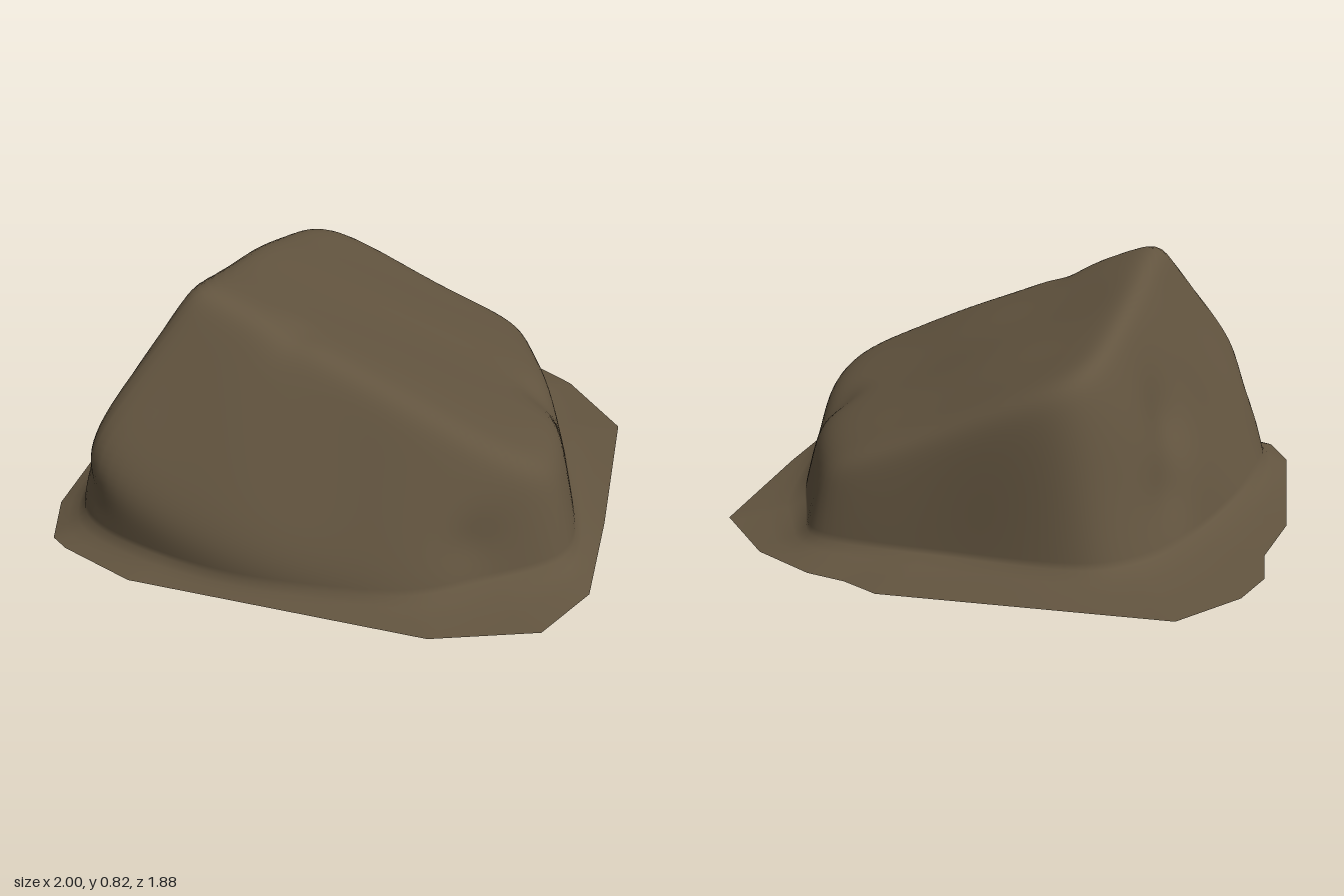
import * as THREE from 'three';

// Ground skirt outline (x, z), walked around the rock
const OUTLINE = [
  [-0.08, -0.945], [0.05, -0.925], [0.18, -0.935], [0.41, -0.89], [0.69, -0.73], [0.89, -0.19],
  [1, 0.15], [0.955, 0.385], [0.685, 0.605], [-0.235, 0.93], [-0.51, 0.935], [-0.58, 0.92],
  [-0.695, 0.775], [-0.915, 0.155], [-0.94, -0.11], [-1, -0.27], [-0.99, -0.43], [-0.89, -0.66],
];

// Rock facets: outward normal and offset of each plane
const FACETS = [
  [0.326, 1, -0.324, 0.6],      // sloping top
  [-0.63, 0.317, 0.098, 0.495], // left slope
  [-1, 0.3, -0.03, 0.74],       // left foot
  [0.333, 0.42, 0.6, 0.532],    // front slope
  [0.35, -0.1, 0.94, 0.73],     // front foot
  [0, -0.1, 1, 0.83],           // front corner foot
  [0.75, 0.25, -0.66, 0.75],    // back right side
  [0.85, 0.25, -0.45, 0.745],   // right side
  [0.8, 0.2, 0.6, 0.78],        // front right side
  [1, 0.3, 0, 0.92],            // right end
  [-0.25, 0.12, -0.97, 0.72],   // back
  [-0.1, 0.55, -0.8, 0.845],    // back bevel
  [-0.85, 0.25, -0.5, 0.82],    // back left corner
  [-0.75, 0.1, 0.65, 0.925],    // front left corner
];

// Worn hollows: centre, radius, depth
const DENTS = [
  [-0.62, 0.4, -0.12, 0.18, 0.03],
  [-0.68, 0.2, -0.25, 0.15, 0.02],
  [-0.48, 0.2, 0.82, 0.14, 0.02],
  [0.57, 0.33, -0.33, 0.13, 0.025],
  [0.0, 0.7, 0.35, 0.1, 0.015],
  [0.7, 0.18, 0.36, 0.14, 0.02],
];

// Distance from the centre to the rounded facets along a direction
function rockPoint(dir) {
  const k = 22;
  let sum = 0;
  for (const [a, b, c, d] of FACETS) {
    sum += Math.max(0, (a * dir.x + b * dir.y + c * dir.z) / d) ** k;
  }
  const p = dir.clone().multiplyScalar(1.02 * sum ** (-1 / k));
  let push = 0.006 * Math.sin(9 * p.x + 4 * p.y) * Math.sin(8 * p.z + 5 * p.y + 1);
  for (const [x, y, z, r, depth] of DENTS) {
    const q = ((p.x - x) ** 2 + (p.y - y) ** 2 + (p.z - z) ** 2) / (r * r);
    push -= depth * Math.exp(-2 * q);
  }
  return p.addScaledVector(dir, push);
}

// Outline with its long edges divided
function skirtEdge() {
  const pts = [];
  OUTLINE.forEach(([x, z], i) => {
    const [x2, z2] = OUTLINE[(i + 1) % OUTLINE.length];
    const n = Math.ceil(Math.hypot(x2 - x, z2 - z) / 0.04);
    for (let j = 0; j < n; j++) pts.push([x + (x2 - x) * j / n, z + (z2 - z) * j / n]);
  });
  return pts;
}

// Rings run from the skirt edge up to the single point at the crown
function rockGeometry() {
  const edge = skirtEdge();
  const n = edge.length;
  const rings = 56;
  const pos = [];
  const index = [];
  const low = 0.06;

  const foot = edge.map(([x, z]) => {
    const len = Math.hypot(x, z);
    const p = rockPoint(new THREE.Vector3(x / len * Math.cos(low), Math.sin(low), z / len * Math.cos(low)));
    const s = Math.min(1, 0.97 * len / Math.hypot(p.x, p.z));
    return new THREE.Vector3(p.x * s, p.y, p.z * s);
  });

  // Skirt
  for (const [t, h] of [[1, 0], [0.6, 0.25], [0.25, 0.55]]) {
    edge.forEach(([x, z], i) => {
      const f = foot[i];
      pos.push(f.x + (x - f.x) * t, f.y * h, f.z + (z - f.z) * t);
    });
  }
  foot.forEach((f) => pos.push(f.x, f.y, f.z));

  // Rock body
  for (let r = 1; r < rings; r++) {
    const e = low + (Math.PI / 2 - low) * r / rings;
    for (const [x, z] of edge) {
      const len = Math.hypot(x, z);
      const p = rockPoint(new THREE.Vector3(x / len * Math.cos(e), Math.sin(e), z / len * Math.cos(e)));
      pos.push(p.x, p.y, p.z);
    }
  }
  const rows = pos.length / 3 / n;
  const crown = rockPoint(new THREE.Vector3(0, 1, 0));
  pos.push(crown.x, crown.y, crown.z);

  for (let r = 0; r < rows; r++) {
    for (let i = 0; i < n; i++) {
      const a = r * n + i;
      const b = r * n + (i + 1) % n;
      if (r === rows - 1) index.push(a, rows * n, b);
      else index.push(a, a + n, b, b, a + n, b + n);
    }
  }
  const geo = new THREE.BufferGeometry();
  geo.setAttribute('position', new THREE.Float32BufferAttribute(pos, 3));
  geo.setIndex(index);
  geo.computeVertexNormals();
  return geo;
}

export function createModel() {
  const group = new THREE.Group();
  group.name = 'boulder';
  const stone = new THREE.MeshStandardMaterial({ color: 0x62543f, side: THREE.DoubleSide });
  stone.name = 'brown stone';
  const rock = new THREE.Mesh(rockGeometry(), stone);
  rock.name = 'rockWithSkirt';
  group.add(rock);
  return group;
}
